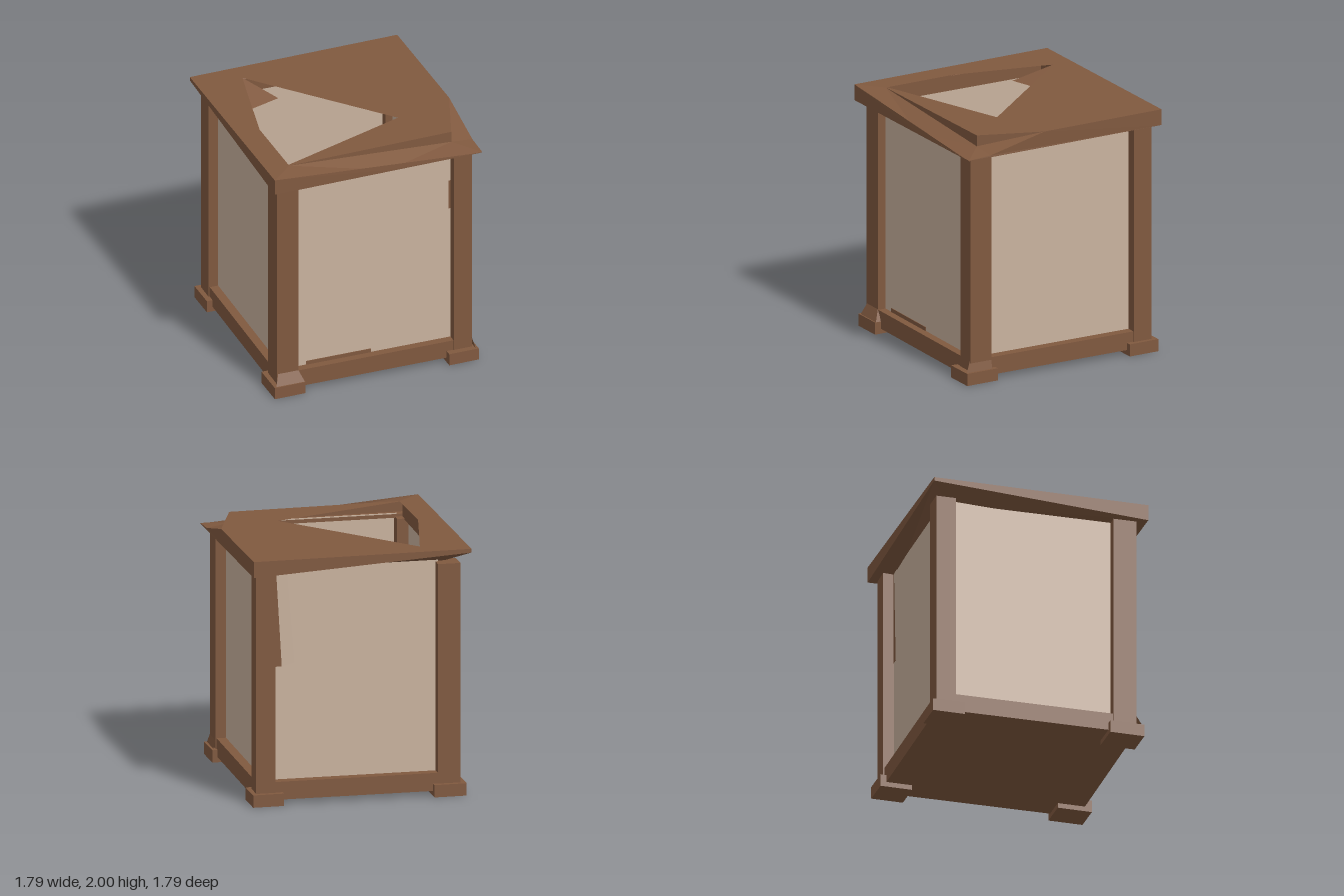
import * as THREE from 'three';

const brown = new THREE.MeshStandardMaterial({ color: 0x80593f, side: THREE.DoubleSide });
brown.name = 'brown wood';
const beige = new THREE.MeshStandardMaterial({ color: 0xc9b29e, side: THREE.DoubleSide });
beige.name = 'beige paper';

export function createModel() {
  const model = new THREE.Group();
  model.name = 'lantern';

  const add = (name, geometry, material) => {
    const mesh = new THREE.Mesh(geometry, material);
    mesh.name = name;
    model.add(mesh);
    return mesh;
  };
  // Box given by its minimum and maximum corners
  const box = (name, [x0, y0, z0], [x1, y1, z1], material = brown) => {
    const mesh = add(name, new THREE.BoxGeometry(x1 - x0, y1 - y0, z1 - z0), material);
    mesh.position.set((x0 + x1) / 2, (y0 + y1) / 2, (z0 + z1) / 2);
    return mesh;
  };
  // Flat faceted surface from convex polygons
  const facets = (name, polygons, material = brown) => {
    const points = [];
    for (const p of polygons) {
      for (let i = 1; i < p.length - 1; i++) points.push(...p[0], ...p[i], ...p[i + 1]);
    }
    const g = new THREE.BufferGeometry();
    g.setAttribute('position', new THREE.Float32BufferAttribute(points, 3));
    g.computeVertexNormals();
    return add(name, g, material);
  };

  // Base slab with a paper coloured floor
  box('base', [-0.81, 0.04, -0.82], [0.815, 0.185, 0.805]);
  box('floor', [-0.7, 0.185, -0.7], [0.7, 0.191, 0.7], beige);

  // Corner posts and feet
  for (const sx of [-1, 1]) {
    for (const sz of [-1, 1]) {
      const xs = sx < 0 ? [-0.82, -0.64] : [0.67, 0.825];
      const zs = sz < 0 ? [-0.83, -0.67] : [0.62, 0.81];
      box('post', [xs[0], 0.04, zs[0]], [xs[1], 1.88, zs[1]]);
      const fx = sx < 0 ? [-0.86, -0.6] : [0.61, 0.86];
      const fz = sz < 0 ? [-0.87, -0.61] : [0.58, 0.86];
      const foot = box('foot', [fx[0], 0, fz[0]], [fx[1], 0.1, fz[1]]);
      foot.rotation.y = 0.015;
    }
  }
  // Sloping fillets where the front feet meet the posts
  facets('footFillet', [
    [[-0.84, 0.1, 0.85], [-0.6, 0.1, 0.85], [-0.64, 0.19, 0.81], [-0.81, 0.19, 0.81]],
    [[-0.6, 0.1, 0.85], [-0.6, 0.1, 0.8], [-0.64, 0.19, 0.81]],
    [[0.84, 0.1, 0.85], [0.84, 0.1, 0.62], [0.82, 0.19, 0.62], [0.82, 0.19, 0.81]],
  ]);

  // Recessed paper panels
  const P = 0.735;
  for (const s of [-1, 1]) {
    box('paperPanel', [-0.66, 0.185, s * P - 0.004], [0.69, 1.9, s * P + 0.004], beige);
    box('paperPanel', [s * P - 0.004, 0.185, -0.69], [s * P + 0.004, 1.9, 0.64], beige);
  }
  // Ragged wood edges and a loose flap of paper
  box('woodSliver', [-0.55, 0.185, P], [0, 0.217, P + 0.009]);
  box('woodSliver', [0.652, 1.35, P], [0.672, 1.6, P + 0.009]);
  facets('woodTear', [[[0.67, 1.87, -0.745], [0.67, 1.1, -0.745], [0.6, 1.1, -0.745], [0.645, 1.87, -0.745]]]);
  facets('paperFlap', [[[0.645, 1.87, -0.747], [0.6, 1.1, -0.747], [0.5, 1.13, -0.75], [0.56, 1.87, -0.75]]], beige);

  // Roof sheet with a jagged opening
  const topOutline = [[-0.9, -0.87], [0.86, -0.9], [0.88, 0.17], [0.7, 0.68], [-0.68, 0.715], [-0.87, 0.89]];
  const opening = [[-0.52, -0.71], [-0.31, -0.47], [0.39, 0.32], [-0.68, 0.7], [-0.69, 0.1], [-0.59, -0.38]];
  const toShape = (pts, Type) => new Type(pts.map(([x, z]) => new THREE.Vector2(x, -z)));
  const sheet = toShape(topOutline, THREE.Shape);
  sheet.holes.push(toShape(opening, THREE.Path));
  const roofTop = add('roofTop', new THREE.ShapeGeometry(sheet), brown);
  roofTop.rotation.x = -Math.PI / 2;
  roofTop.position.y = 2;
  facets('openingFlap', [[[-0.52, 2, -0.71], [-0.59, 1.9, -0.38], [-0.31, 1.9, -0.47]]]);

  // Worn front slope of the roof
  const A = [-0.87, 2, 0.89], B = [-0.68, 2, 0.715], C = [0.7, 1.91, 0.68], D = [0.88, 2, 0.17];
  const E = [0.1, 1.885, 0.876], F = [0.89, 1.875, 0.86], G = [0.885, 1.885, 0.66], T = [0.7, 2, 0.68];
  facets('roofSlope', [[A, E, B], [E, C, B], [E, F, C], [F, G, C], [G, D, C], [B, C, T], [T, C, D]]);

  // Roof edge; the back corner thins out
  const low = [[-0.9, 1.97, -0.87], [0.86, 1.87, -0.9], [0.89, 1.87, 0.86], [-0.87, 1.87, 0.89]];
  const H = [-0.9, 2, -0.87], I = [0.86, 2, -0.9];
  facets('roofEdge', [
    [low[0], H, I, low[1]],
    [low[1], I, D, G, F, low[2]],
    [low[2], F, E, A, low[3]],
    [low[3], A, H, low[0]],
  ]);

  // Underside ring and the inner rail above the panels
  const inner = [[-0.7, -0.7], [0.7, -0.7], [0.7, 0.7], [-0.7, 0.7]];
  for (let i = 0; i < 4; i++) {
    const j = (i + 1) % 4;
    const a = [inner[i][0], 1.87, inner[i][1]], b = [inner[j][0], 1.87, inner[j][1]];
    facets('roofUnderside', [[low[i], low[j], b, a]]);
    const top = i === 2 ? 1.9 : 1.99;
    if (i !== 1) facets('innerRail', [[a, b, [b[0], top, b[2]], [a[0], top, a[2]]]]);
  }
  return model;
}
